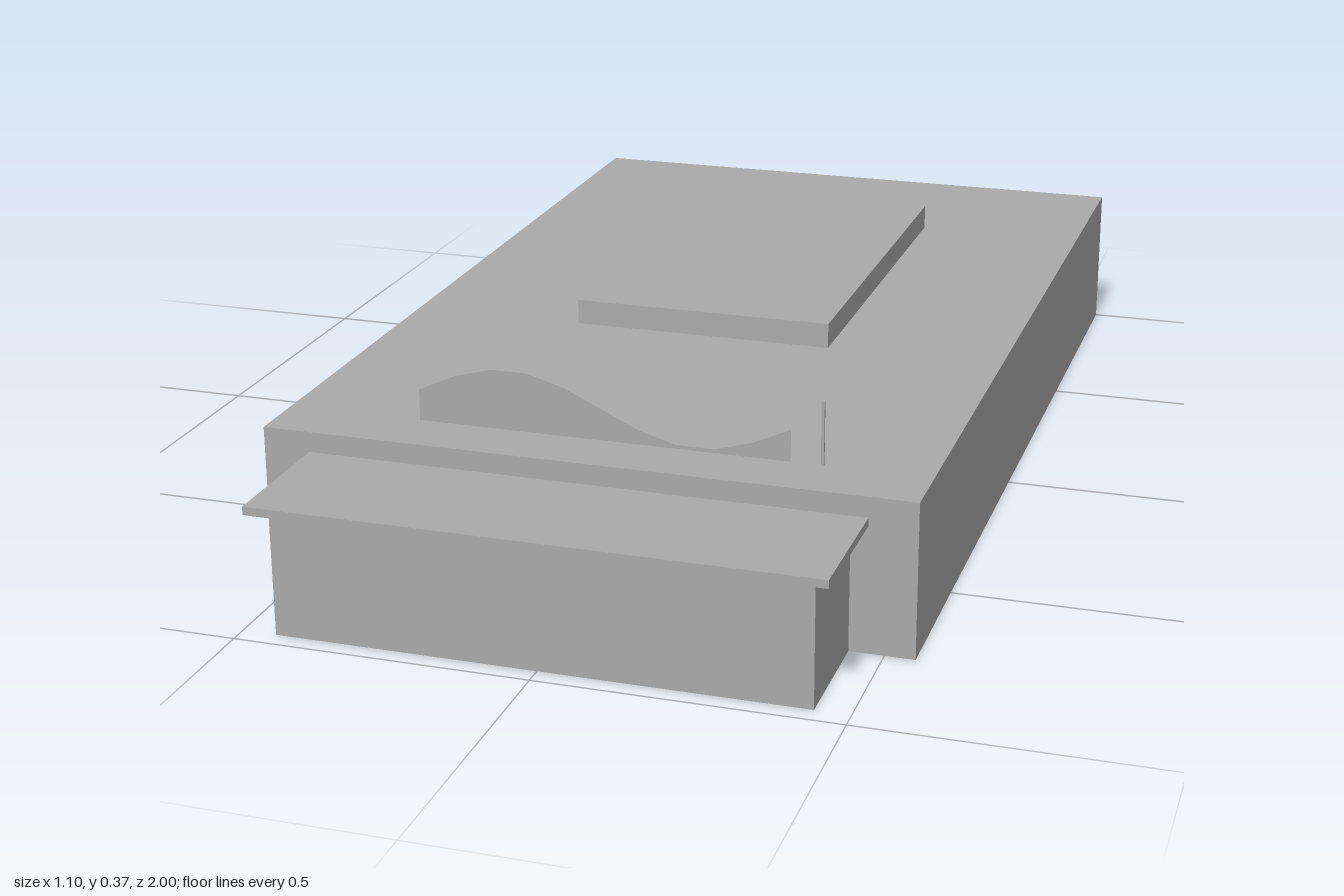
import * as THREE from 'three';

const grey = new THREE.MeshStandardMaterial({ color: 0xaaaaaa, side: THREE.DoubleSide });
grey.name = 'plain grey';

// Box between two corners; skip lists faces left open (0 +x, 1 -x, 2 +y, 3 -y, 4 +z, 5 -z)
function block(name, [x0, y0, z0], [x1, y1, z1], skip = []) {
  const geometry = new THREE.BoxGeometry(x1 - x0, y1 - y0, z1 - z0);
  const index = Array.from(geometry.index.array);
  geometry.setIndex(index.filter((_, i) => !skip.includes(Math.floor(i / 6))));
  geometry.clearGroups();
  geometry.translate((x0 + x1) / 2, (y0 + y1) / 2, (z0 + z1) / 2);
  const mesh = new THREE.Mesh(geometry, grey);
  mesh.name = name;
  return mesh;
}

// Flat upright sheet with a full sine wave along its top edge
function waveSign(width, base, middle, swing, z) {
  const steps = 10;
  const shape = new THREE.Shape();
  shape.moveTo(width / 2, base);
  for (let i = steps; i >= 0; i--) {
    const t = i / steps;
    shape.lineTo((t - 0.5) * width, middle + swing * Math.sin(t * Math.PI * 2));
  }
  shape.lineTo(-width / 2, base);
  const mesh = new THREE.Mesh(new THREE.ShapeGeometry(shape), grey);
  mesh.name = 'waveSign';
  mesh.position.z = z;
  return mesh;
}

export function createModel() {
  const model = new THREE.Group();
  model.name = 'building';
  const roofY = 0.265;

  // Main hall, a shell open underneath
  model.add(block('hall', [-0.55, 0, -1], [0.55, roofY, 0.76], [3]));

  // Raised section on the roof
  model.add(block('roofBlock', [-0.236, roofY, -0.67], [0.236, 0.31, 0.113], [3]));

  // Front porch walls and the canopy over them, which runs just inside the hall
  model.add(block('porch', [-0.442, 0, 0.76], [0.442, 0.216, 0.968], [2, 3, 5]));
  model.add(block('canopy', [-0.47, 0.216, 0.74], [0.47, 0.23, 1]));

  // Wavy sign and flagpole standing on the roof
  model.add(waveSign(0.634, roofY, 0.319, 0.05, 0.656));
  model.add(block('flagpole', [0.367, roofY, 0.654], [0.372, 0.373, 0.658]));

  return model;
}
